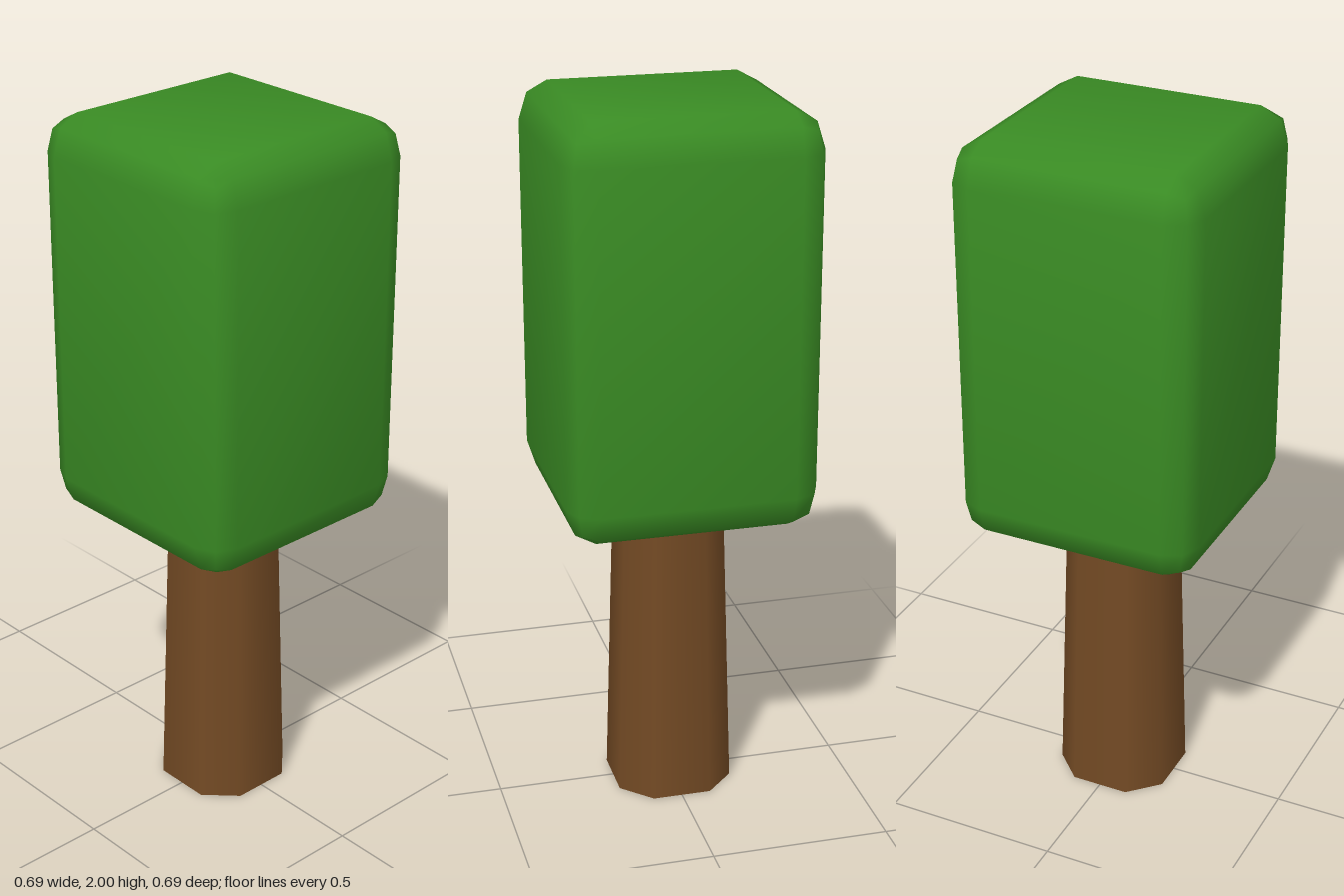
import * as THREE from 'three';
import { RoundedBoxGeometry } from 'three/addons/geometries/RoundedBoxGeometry.js';

const leafGreen = new THREE.MeshStandardMaterial({ color: 0x3a8c24 });
leafGreen.name = 'leafGreen';
const barkBrown = new THREE.MeshStandardMaterial({ color: 0x734a24, side: THREE.DoubleSide });
barkBrown.name = 'barkBrown';

// Tall block with two-step rounded edges; normals lean outwards for soft shading
function foliageGeometry() {
  const stretch = 1.3, height = 1.135;
  const geo = new RoundedBoxGeometry(0.692, height / stretch, 0.692, 1, 0.08);
  geo.clearGroups();
  const pos = geo.attributes.position, nor = geo.attributes.normal;
  const p = new THREE.Vector3(), n = new THREE.Vector3();
  for (let i = 0; i < pos.count; i++) {
    p.fromBufferAttribute(pos, i);
    n.fromBufferAttribute(nor, i);
    n.x += 0.2 * Math.sign(p.x);
    n.y += 0.2 * Math.sign(p.y);
    n.z += 0.2 * Math.sign(p.z);
    n.normalize();
    nor.setXYZ(i, n.x, n.y, n.z);
  }
  return geo.scale(1, stretch, 1).translate(0, 2 - height / 2, 0);
}

// Tapered, open tube: a square section with chamfered corners
function trunkGeometry() {
  const base = 0.165, top = 0.138, height = 1;
  const toRadius = 1 / Math.cos(Math.PI / 8);
  const geo = new THREE.CylinderGeometry(
    top * toRadius, base * toRadius, height, 8, 1, true, Math.PI / 8);
  const pos = geo.attributes.position;
  for (let i = 0; i < pos.count; i++) {
    const x = pos.getX(i), z = pos.getZ(i);
    // widen the four main sides so the chamfers are narrower
    if (Math.abs(x) < Math.abs(z)) pos.setX(i, x * 1.22);
    else pos.setZ(i, z * 1.22);
  }
  return geo.translate(0, height / 2, 0);
}

export function createModel() {
  const tree = new THREE.Group();
  tree.name = 'tree';

  const trunk = new THREE.Mesh(trunkGeometry(), barkBrown);
  trunk.name = 'trunk';

  const foliage = new THREE.Mesh(foliageGeometry(), leafGreen);
  foliage.name = 'foliage';

  tree.add(trunk, foliage);
  return tree;
}
